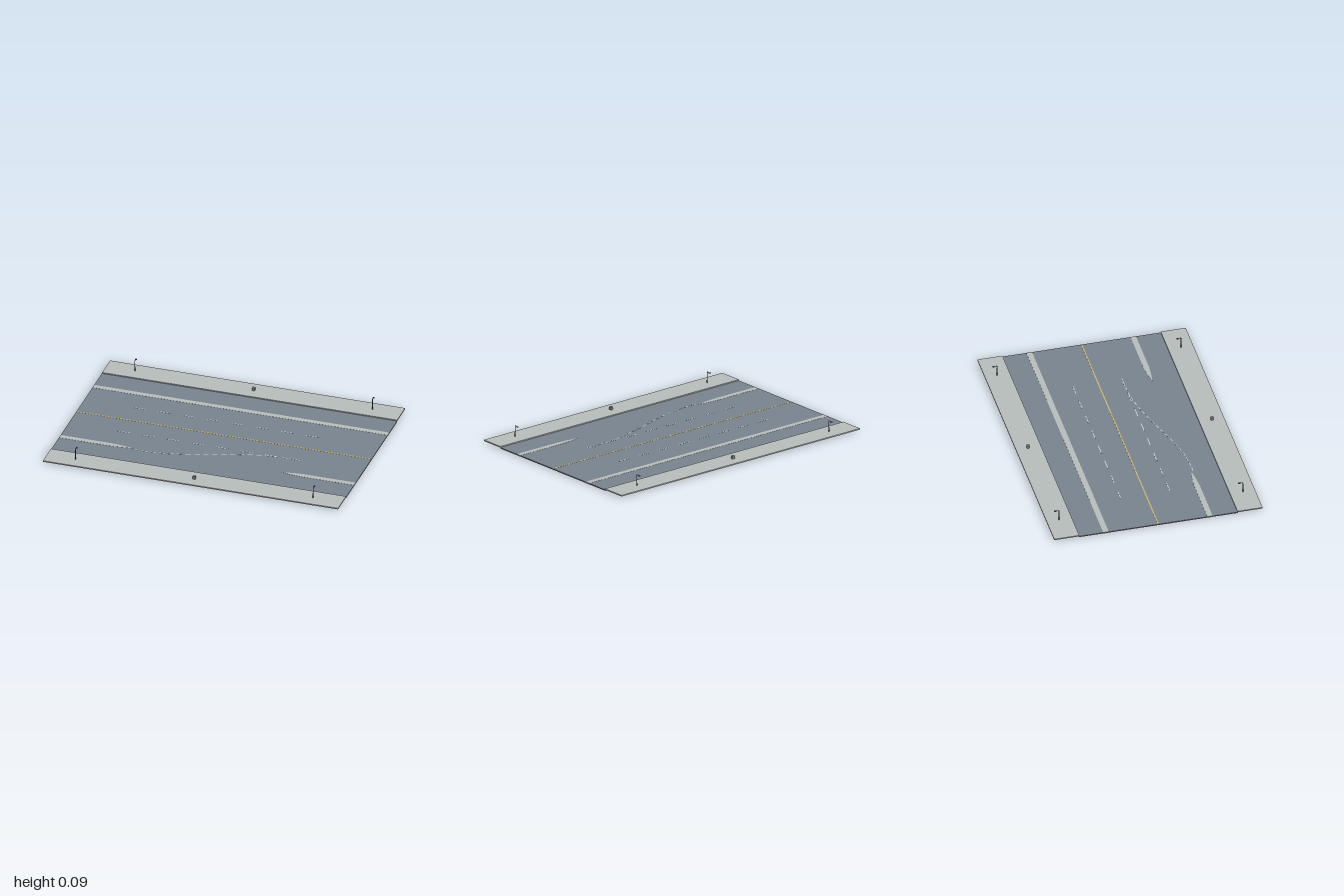
import * as THREE from 'three';

const mat = (name, color) => {
  const m = new THREE.MeshStandardMaterial({ color });
  m.name = name;
  return m;
};

export function createModel() {
  const root = new THREE.Group();
  root.name = 'roadSection';
  const asphalt = mat('asphalt', 0x78828d);
  const concrete = mat('concrete', 0xb5bbb8);
  const white = mat('whitePaint', 0xc9cfce);
  const yellow = mat('yellowPaint', 0xcdb36a);
  const metal = mat('darkMetal', 0x4a4f55);
  const grey = mat('boxGrey', 0x84898d);

  const add = (parent, name, geometry, material, x, y, z) => {
    const mesh = new THREE.Mesh(geometry, material);
    mesh.name = name;
    mesh.position.set(x, y, z);
    parent.add(mesh);
    return mesh;
  };
  const box = (name, w, h, d, material, x, y, z, parent = root) =>
    add(parent, name, new THREE.BoxGeometry(w, h, d), material, x, y, z);

  // Carriageway and raised pavements
  box('roadway', 2, 0.007, 1.054, asphalt, 0, 0.0045, 0);
  for (const s of [-1, 1]) {
    box('pavement', 2, 0.008, 0.166, concrete, 0, 0.011, s * 0.609);
  }

  // Dividers: one continuous, one broken by an opening with tapered noses
  box('rearDivider', 2, 0.0088, 0.037, concrete, 0, 0.0044, -0.348);
  for (const s of [-1, 1]) {
    const shape = new THREE.Shape();
    shape.moveTo(s, 0.325);
    shape.lineTo(s * 0.65, 0.325);
    shape.quadraticCurveTo(s * 0.58, 0.328, s * 0.505, 0.345);
    shape.quadraticCurveTo(s * 0.58, 0.357, s * 0.66, 0.361);
    shape.lineTo(s, 0.361);
    const g = new THREE.ExtrudeGeometry(shape, { depth: 0.0088, bevelEnabled: false, curveSegments: 6 });
    g.rotateX(Math.PI / 2);
    add(root, 'frontDivider', g, concrete, 0, 0.0088, 0);
  }

  // Painted lines
  box('centreLine', 2, 0.001, 0.008, yellow, 0, 0.0083, 0);
  for (const z of [-0.166, 0.16]) {
    for (let i = 0; i < 8; i++) {
      box('laneDash', 0.083, 0.001, 0.006, white, -0.627 + i * 0.1667, 0.0083, z);
    }
  }

  // Curved guide line crossing the opening
  const guide = new THREE.CatmullRomCurve3([
    [-0.5, 0.357], [-0.45, 0.358], [-0.3, 0.345], [-0.15, 0.31], [0, 0.26],
    [0.15, 0.215], [0.3, 0.178], [0.4, 0.164], [0.5, 0.16],
  ].map(([x, z]) => new THREE.Vector3(x, 0.0083, z)));
  const count = 18;
  for (let i = 0; i < count; i++) {
    const u = (i + 0.4) / count;
    const p = guide.getPointAt(u);
    const t = guide.getTangentAt(u);
    const dash = box('guideDash', 0.034, 0.001, 0.006, white, p.x, p.y, p.z);
    dash.rotation.y = -Math.atan2(t.z, t.x);
  }

  // Street lamps, all reaching towards the back
  const arm = new THREE.CatmullRomCurve3([
    new THREE.Vector3(0, 0.07, 0), new THREE.Vector3(0, 0.074, 0),
    new THREE.Vector3(0, 0.0745, -0.008), new THREE.Vector3(0, 0.073, -0.022),
  ]);
  for (const x of [-0.805, 0.805]) {
    for (const z of [-0.611, 0.611]) {
      const lamp = new THREE.Group();
      lamp.name = 'streetLamp';
      lamp.position.set(x, 0.015, z);
      add(lamp, 'lampPole', new THREE.CylinderGeometry(0.0022, 0.003, 0.072, 8), metal, 0, 0.036, 0);
      add(lamp, 'lampArm', new THREE.TubeGeometry(arm, 8, 0.002, 6), metal, 0, 0, 0);
      box('lampHead', 0.01, 0.004, 0.012, metal, 0, 0.0725, -0.024, lamp);
      root.add(lamp);
    }
  }

  // Small kerbside boxes
  for (const z of [-0.611, 0.611]) {
    box('utilityBox', 0.018, 0.02, 0.018, grey, 0, 0.025, z);
  }
  return root;
}
